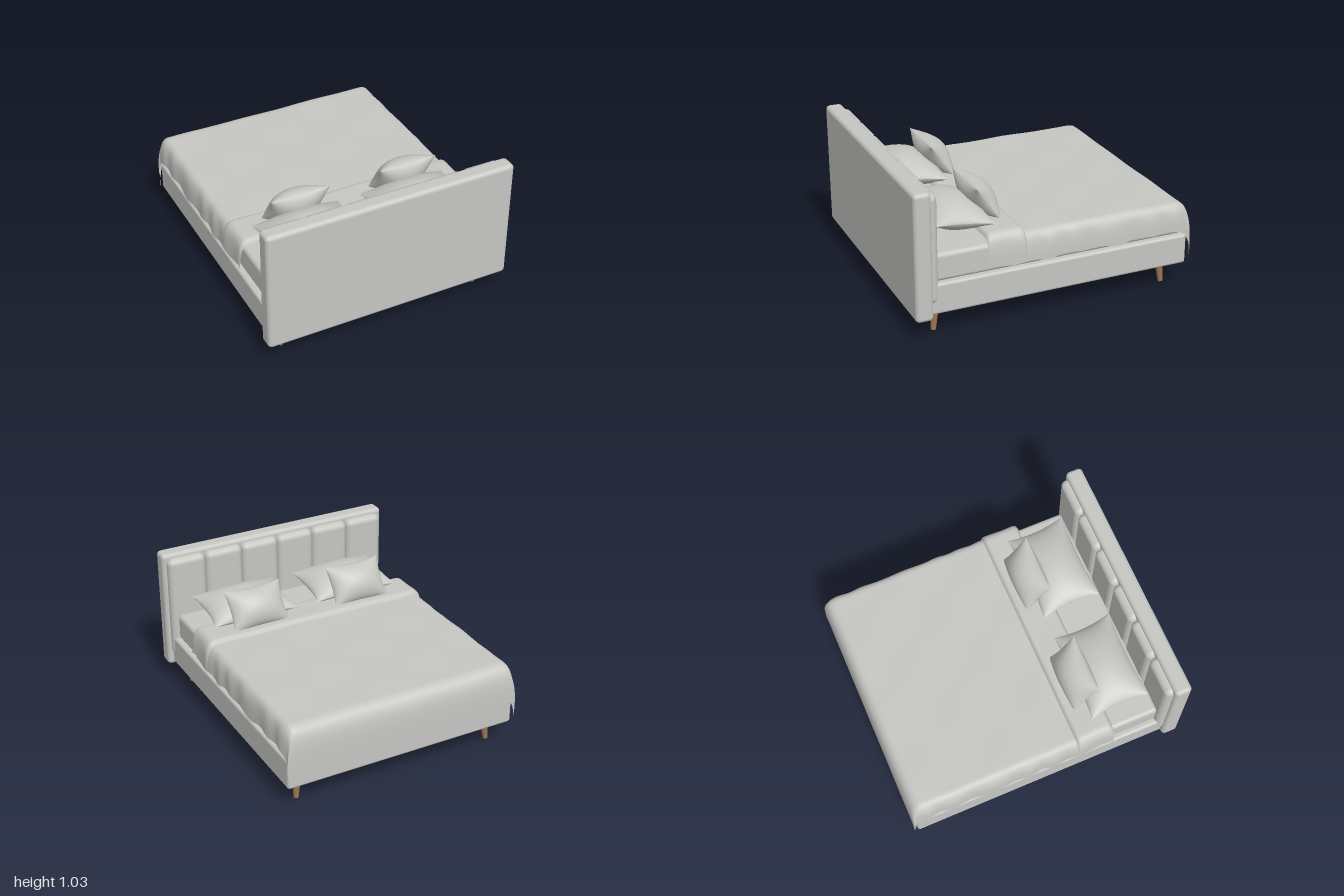
import * as THREE from 'three';
import { RoundedBoxGeometry } from 'three/addons/geometries/RoundedBoxGeometry.js';
import { ParametricGeometry } from 'three/addons/geometries/ParametricGeometry.js';

const fabric = new THREE.MeshStandardMaterial({ color: 0xc6c6c3, side: THREE.DoubleSide });
fabric.name = 'grey fabric';
const wood = new THREE.MeshStandardMaterial({ color: 0x9c754f });
wood.name = 'wood';

function add(parent, name, geometry, material = fabric) {
  const mesh = new THREE.Mesh(geometry, material);
  mesh.name = name;
  parent.add(mesh);
  return mesh;
}

// Rounded block given by its limits on each axis
function block(parent, name, [x0, x1], [y0, y1], [z0, z1], radius) {
  const geometry = new RoundedBoxGeometry(x1 - x0, y1 - y0, z1 - z0, 5, radius);
  const mesh = add(parent, name, geometry);
  mesh.position.set((x0 + x1) / 2, (y0 + y1) / 2, (z0 + z1) / 2);
  return mesh;
}

function surface(fn, slices, stacks) {
  const geometry = new ParametricGeometry(fn, slices, stacks);
  geometry.computeVertexNormals();
  return geometry;
}

// Cloth that runs past an edge by d moves outward and then hangs down
const EDGE_X = 0.79, EDGE_Z = -0.9;
const outward = (d, reach) => reach * (1 - Math.exp(-d / 0.06));
const drop = (d) => (d * d) / (d + 0.06);

// Place a point of cloth laid flat at (a, b) over the mattress
function drape(a, b, top, reachX, target) {
  const dx = Math.max(0, Math.abs(a) - EDGE_X);
  const dz = Math.max(0, EDGE_Z - b);
  const hang = Math.min(1, dx / 0.12);
  const puff = 0.005 * hang * Math.sin(b * 27 + 1.5 * Math.sin(b * 7));
  const wrinkle = 0.003 * Math.sin(a * 9 + 2 * b) * Math.sin(b * 11 - a * 3);
  const x = Math.min(Math.abs(a), EDGE_X) + outward(dx, reachX) + puff;
  const z = Math.max(b, EDGE_Z) - outward(dz, 0.1);
  target.set(Math.sign(a) * x, top - drop(dx) - drop(dz) + wrinkle, z);
}

// Cushion: two domed halves that meet in a pinched seam
function cushion(parent, name, halfWidth, halfHeight, halfDepth) {
  const group = new THREE.Group();
  group.name = name;
  for (const side of [1, -1]) {
    const half = surface((u, v, target) => {
      const p = Math.sin((u - 0.5) * Math.PI), q = Math.sin((v - 0.5) * Math.PI);
      const dome = Math.pow(Math.max(0, (1 - p * p) * (1 - q * q)), 0.6);
      target.set(
        halfWidth * p * (1 - 0.08 * (1 - q * q)),
        halfHeight * q * (1 - 0.08 * (1 - p * p)),
        side * halfDepth * dome
      );
    }, 28, 28);
    add(group, name + 'Half', half);
  }
  parent.add(group);
  return group;
}

export function createModel() {
  const bed = new THREE.Group();
  bed.name = 'bed';

  // Headboard with six padded channels on the side facing the mattress
  block(bed, 'headboard', [-0.89, 0.89], [0.145, 1.03], [0.88, 1], 0.03);
  const width = 1.72 / 6;
  for (let i = 0; i < 6; i++) {
    const x = -0.86 + i * width;
    block(bed, 'headboardPanel', [x, x + width], [0.24, 1], [0.827, 0.927], 0.045);
  }

  // Upholstered base and mattress
  block(bed, 'base', [-0.85, 0.85], [0.165, 0.38], [-0.975, 0.89], 0.02);
  block(bed, 'mattress', [-0.815, 0.815], [0.375, 0.57], [-0.95, 0.84], 0.03);

  // Blanket hanging over both sides and the foot, lowest at the corners
  add(bed, 'blanket', surface((u, v, target) => {
    const b = 0.43 + v * (EDGE_Z - 0.32 - 0.43);
    const overhang = 0.242 + 0.008 * Math.sin(b * 24) + 0.005 * Math.sin(b * 11);
    const a = (2 * u - 1) * (EDGE_X + overhang);
    drape(a, b + 0.008 * v * Math.sin(a * 14), 0.612, 0.068, target);
  }, 120, 110));

  // Turned-back strip, with its two long edges tucked down
  add(bed, 'blanketFold', surface((u, v, target) => {
    const b = 0.49 - v * 0.27;
    const a = (2 * u - 1) * (EDGE_X + 0.235 + 0.012 * Math.sin(v * Math.PI));
    const tuck = Math.pow(Math.abs(2 * v - 1), 14);
    drape(a, b, 0.643 - 0.03 * tuck, 0.073 - 0.006 * tuck, target);
  }, 120, 28));

  for (const side of [-1, 1]) {
    // Sleeping pillow lying down, small cushion leaning on it
    const pillow = cushion(bed, 'pillow', 0.32, 0.21, 0.115);
    pillow.position.set(side * 0.4, 0.685, 0.585);
    pillow.rotation.x = -Math.PI / 2 - 0.13;
    const small = cushion(bed, 'smallCushion', 0.215, 0.15, 0.1);
    small.position.set(side * 0.4, 0.747, 0.38);
    small.rotation.x = 0.616;

    // Tapered legs, slightly splayed
    for (const [zTop, zFoot] of [[0.813, 0.832], [-0.838, -0.852]]) {
      const top = new THREE.Vector3(side * 0.718, 0.175, zTop);
      const foot = new THREE.Vector3(side * 0.735, 0.002, zFoot);
      const axis = top.clone().sub(foot);
      const leg = add(bed, 'leg', new THREE.CylinderGeometry(0.03, 0.017, axis.length(), 24), wood);
      leg.position.copy(top).add(foot).multiplyScalar(0.5);
      leg.quaternion.setFromUnitVectors(new THREE.Vector3(0, 1, 0), axis.normalize());
    }
  }
  return bed;
}
